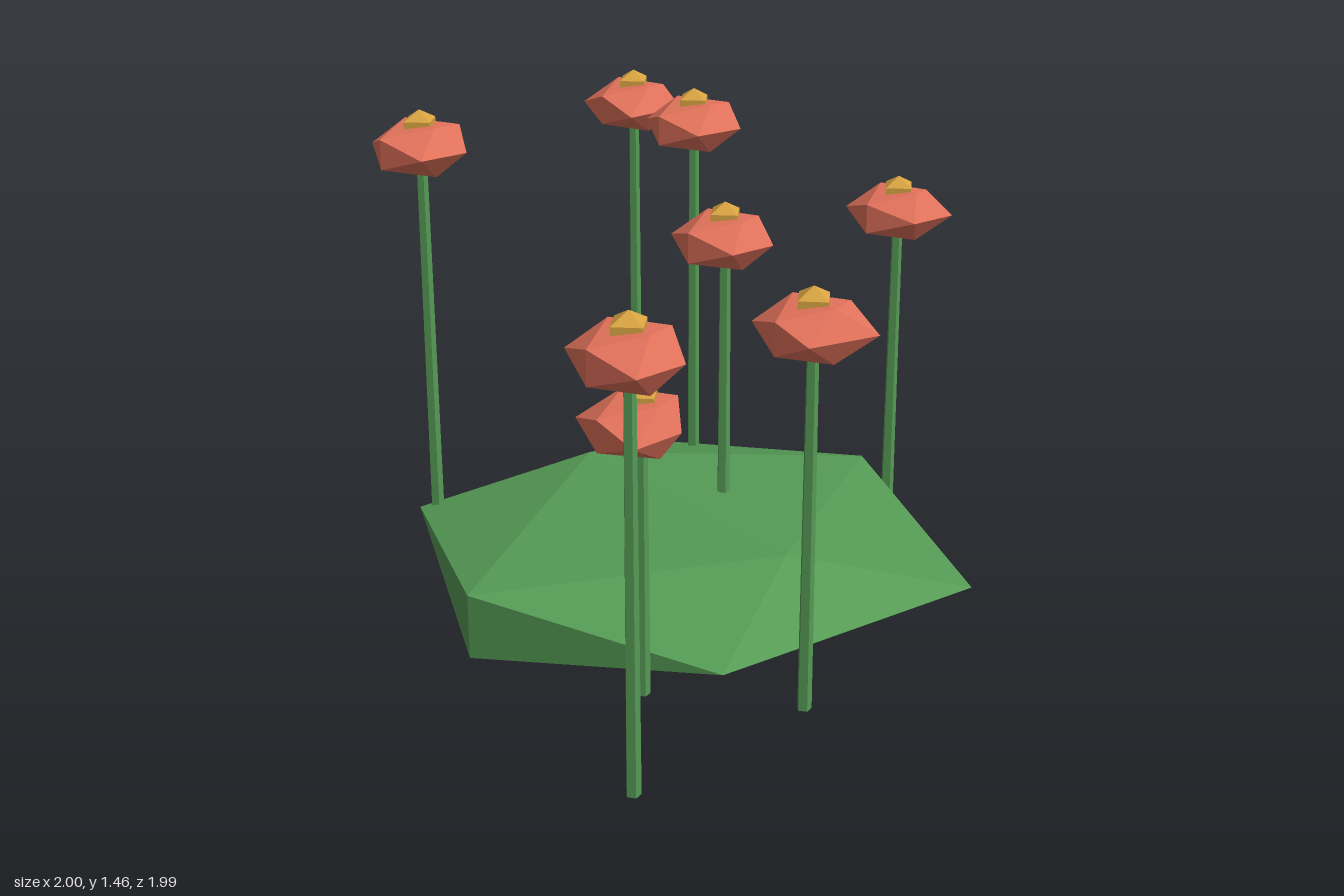
import * as THREE from 'three';
import { ConvexGeometry } from 'three/addons/geometries/ConvexGeometry.js';

const green = new THREE.MeshStandardMaterial({ name: 'leafGreen', color: 0x559a55 });
const coral = new THREE.MeshStandardMaterial({ name: 'petalCoral', color: 0xe2725b });
const gold = new THREE.MeshStandardMaterial({ name: 'centreGold', color: 0xd9a441 });

// Squashed, slightly irregular twenty-sided stone shape.
// rim: four [x, z] side corners; back/front: z of the shoulders; ridge: half length of top edge
function facetedBlob({ rim, back, front, ridge, height, backTop = back }) {
  const points = rim.map(([x, z]) => new THREE.Vector3(x, 0, z));
  for (const s of [-1, 1]) {
    points.push(
      new THREE.Vector3(-ridge, s * height, 0),
      new THREE.Vector3(ridge, s * height, 0),
      new THREE.Vector3(0, s * height * 0.618, front),
      new THREE.Vector3(0, s * height * 0.618, s > 0 ? backTop : back),
    );
  }
  return new ConvexGeometry(points);
}

// Faceted geometry needs one normal per face
function flat(geometry) {
  const g = geometry.toNonIndexed();
  g.computeVertexNormals();
  return g;
}

function addMesh(parent, name, geometry, material, y) {
  const mesh = new THREE.Mesh(geometry, material);
  mesh.name = name;
  mesh.position.y = y;
  parent.add(mesh);
  return mesh;
}

// Position of each bloom, then its outline in hundredths:
// back, front, and corners back right, front right, front left, back left
const FLOWERS = [
  { at: [-0.87, 1.30, -0.50], back: -12.5, front: 13, rim: [[13.5, -9], [13.5, 11.5], [-13, 10.5], [-12.5, -5]] },
  { at: [-0.72, 1.35, 0.42], back: -14, front: 14, rim: [[14, -7], [13.5, 8.5], [-13.5, 8.5], [-13, -7.5]] },
  { at: [-0.51, 1.315, -0.46], back: -14.5, front: 14, rim: [[14, -7.5], [12.5, 8.5], [-14.5, 7.5], [-13, -8.5]] },
  { at: [0, 1.125, -0.16], back: -13, front: 14, rim: [[13.5, -7], [13, 8], [-14, 9], [-13.5, -7]] },
  { at: [0, 1.07, -0.87], back: -12.5, front: 13.5, rim: [[14, -10], [13, 5.5], [-14, 9], [-12.5, -6.5]] },
  { at: [0.49, 0.89, 0.54], back: -12.5, front: 14.5, rim: [[12, -4], [13, 12.5], [-14, 11], [-13.5, -4]] },
  { at: [0.83, 1.185, 0.25], back: -13, front: 13, rim: [[14.5, -9.5], [10, 10.5], [-14, 8.5], [-12, -7]] },
  { at: [0.87, 1.275, 0.87], back: -13, front: 12.5, rim: [[12.5, -7], [13, 8], [-14, 8.5], [-11, -10]] },
];
const STEM_BOTTOM = 0.08;

function makeFlower({ at: [x, y, z], back, front, rim }) {
  const flower = new THREE.Group();
  flower.name = 'flower';
  flower.position.set(x, 0, z);

  // Stem, tapering upwards
  const length = y - STEM_BOTTOM;
  const stem = flat(new THREE.CylinderGeometry(0.017, 0.021, length, 5));
  addMesh(flower, 'stem', stem, green, STEM_BOTTOM + length / 2);

  // Bloom
  const bloom = facetedBlob({ rim, back, front, ridge: 8, height: 7.5 });
  bloom.scale(0.01, 0.01, 0.01);
  addMesh(flower, 'bloom', bloom, coral, y);

  // Four-sided flower centre
  const centre = flat(new THREE.SphereGeometry(0.064, 4, 3).scale(1, 0.94, 1));
  addMesh(flower, 'flowerCentre', centre, gold, y + 0.055);
  return flower;
}

export function createModel() {
  const model = new THREE.Group();
  model.name = 'flowerBush';

  // Low leafy mound
  const mound = facetedBlob({
    rim: [[0.735, -0.5], [0.665, 0.4], [-0.76, 0.46], [-0.7, -0.45]],
    back: -0.79, backTop: -0.75, front: 0.785, ridge: 0.47, height: 0.162,
  });
  addMesh(model, 'leafyMound', mound, green, 0.163);

  for (const f of FLOWERS) model.add(makeFlower(f));
  return model;
}
